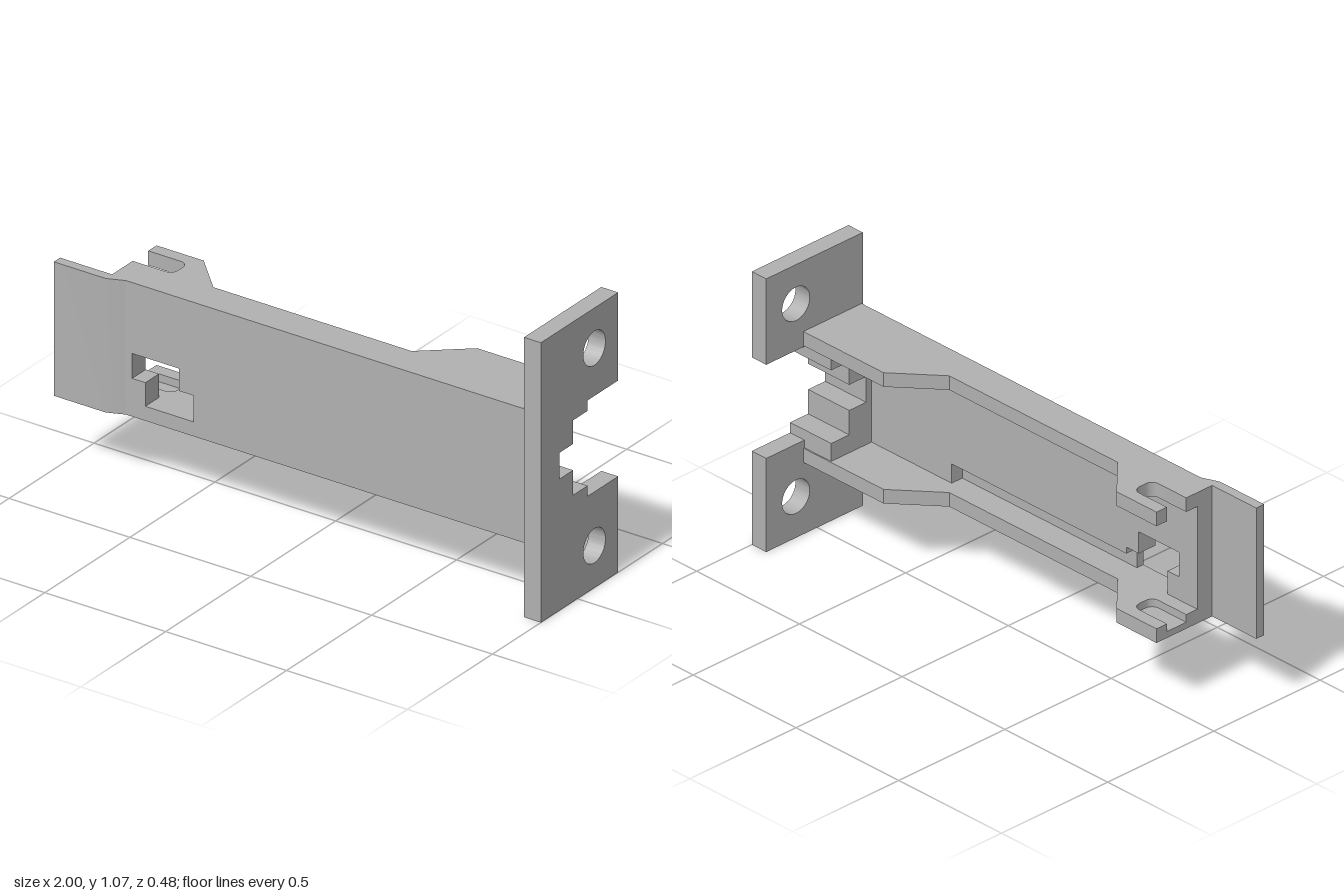
import * as THREE from 'three';
import { toCreasedNormals } from 'three/addons/utils/BufferGeometryUtils.js';

export function createModel() {
  const group = new THREE.Group();
  const grey = new THREE.MeshStandardMaterial({ color: 0xb0b0b0 });
  grey.name = 'plain grey';

  const shapeOf = (pts) => new THREE.Shape(pts.map(([a, b]) => new THREE.Vector2(a, b)));
  const pathOf = (pts) => new THREE.Path(pts.map(([a, b]) => new THREE.Vector2(a, b)));
  const extrude = (shape, depth) =>
    new THREE.ExtrudeGeometry(shape, { depth, bevelEnabled: false, curveSegments: 24 });
  const add = (name, geometry) => {
    const mesh = new THREE.Mesh(toCreasedNormals(geometry, 0.5), grey);
    mesh.name = name;
    group.add(mesh);
  };
  // Outline in (x, z), raised from y0 to y1
  const addUpright = (name, pts, y0, y1) =>
    add(name, extrude(shapeOf(pts.map(([x, z]) => [x, -z])), y1 - y0).rotateX(-Math.PI / 2).translate(0, y0, 0));
  // Outline in (z, y), run from x0 to x1
  const addAcross = (name, pts, x0, x1, holes = []) => {
    const shape = shapeOf(pts.map(([z, y]) => [-z, y]));
    for (const [z, y, r] of holes) {
      shape.holes.push(new THREE.Path().absarc(-z, y, r, 0, Math.PI * 2, true));
    }
    add(name, extrude(shape, x1 - x0).rotateY(Math.PI / 2).translate(x0, 0, 0));
  };

  const bottom = 0.28, top = 0.79, wall = 0.055;
  const endX = -0.785, flangeX = 0.93;

  // Mounting flange with a stepped notch and two bolt holes
  const steps = [
    [-0.06, 0.405], [0.025, 0.405], [0.025, 0.5], [0.105, 0.5],
    [0.105, 0.6], [0.025, 0.6], [0.025, 0.69], [-0.06, 0.69],
  ];
  addAcross('mountingFlange', [
    [0.215, 0], [-0.24, 0], [-0.24, 0.365], [-0.06, 0.365], ...steps,
    [-0.06, 0.73], [-0.24, 0.73], [-0.24, 1.065], [0.215, 1.065],
  ], flangeX, 1, [[-0.1, 0.16, 0.065], [-0.1, 0.912, 0.065]]);

  // Stepped block behind the flange, between the walls
  addAcross('steppedBlock', [
    [0.14, bottom + wall], [-0.06, bottom + wall], ...steps,
    [-0.06, top - wall], [0.14, top - wall],
  ], 0.8, flangeX);

  // Face plate in two layers: a stepped window, and a groove along the inside
  const plate = (name, z0, z1, hole) => {
    const shape = shapeOf([[endX, bottom], [flangeX, bottom], [flangeX, top], [endX, top]]);
    shape.holes.push(pathOf(hole));
    add(name, extrude(shape, z1 - z0).translate(0, 0, z0));
  };
  const windowLeft = [[-0.5, 0.52], [-0.695, 0.52], [-0.695, 0.425], [-0.64, 0.425], [-0.64, 0.335]];
  plate('facePlate', 0.18, 0.21, [...windowLeft, [-0.44, 0.335], [-0.44, 0.435], [-0.5, 0.435]]);
  plate('groovedPlate', 0.13, 0.18, [
    ...windowLeft, [0.41, 0.335], [0.41, 0.41], [-0.44, 0.41], [-0.44, 0.435], [-0.5, 0.435],
  ]);

  // Side walls; the slot opens at the free end and has rounded inner corners
  const rim = [[-0.59, -0.062], [-0.45, 0.08], [0.37, 0.08], [0.54, -0.065], [flangeX, -0.065], [flangeX, 0.21]];
  const slot = [];
  const r = 0.03, slotX = -0.62, z0 = -0.013, z1 = 0.078;
  for (const [cz, start] of [[z1 - r, Math.PI / 2], [z0 + r, 0]]) {
    for (let i = 0; i <= 6; i++) {
      const a = start - (i / 6) * Math.PI / 2;
      slot.push([slotX - r + r * Math.cos(a), cz + r * Math.sin(a)]);
    }
  }
  const plain = [[endX, 0.21], [endX, -0.062], ...rim];
  const slotted = [[endX, 0.21], [endX, z1], ...slot, [endX, z0], [endX, -0.062], ...rim];
  addUpright('upperWall', slotted, top - wall, top);
  addUpright('lowerWallOuter', plain, bottom, bottom + 0.025);
  addUpright('lowerWallInner', slotted, bottom + 0.025, bottom + wall);

  // Offset end tongue with a sloped transition
  addUpright('endTongue', [
    [-1, 0.2], [endX, 0.2], [-0.72, 0.205], [-0.72, 0.21], [endX, 0.237], [-1, 0.237],
  ], bottom, top);

  return group;
}
